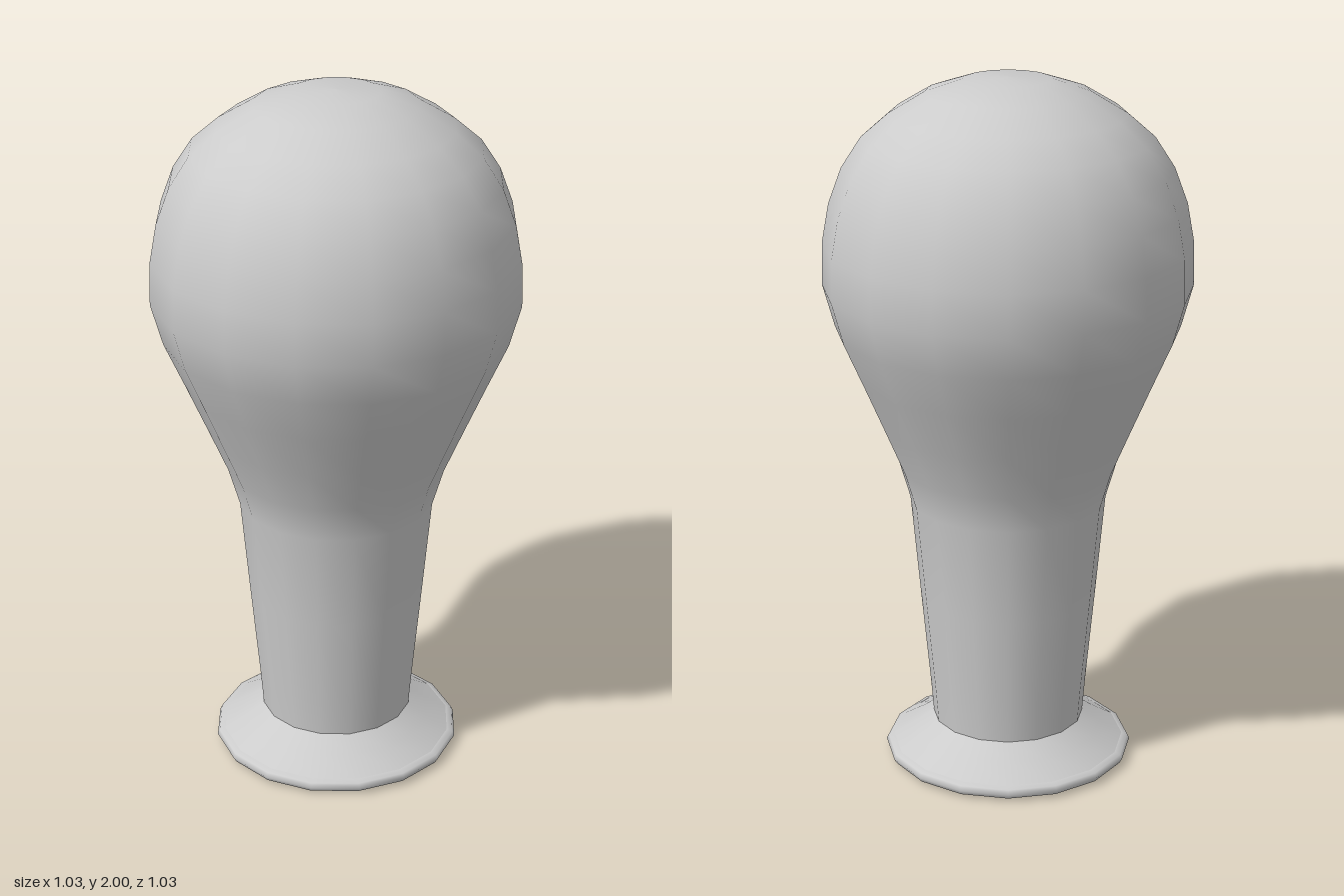
import * as THREE from 'three';

const SIDES = 16;

// Turns a profile of [radius, height] pairs, listed upwards on the outside
function turned(name, profile, material) {
  const points = profile.map(([r, y]) => new THREE.Vector2(r, y));
  const mesh = new THREE.Mesh(new THREE.LatheGeometry(points, SIDES), material);
  mesh.name = name;
  return mesh;
}

export function createModel() {
  const model = new THREE.Group();
  model.name = 'balloon';
  const skin = new THREE.MeshStandardMaterial({ color: 0xcccccc, side: THREE.DoubleSide });

  // Round bulb tapering into the neck, one thin smooth skin
  const body = [[0.218, 0.12], [0.226, 0.22], [0.252, 0.5], [0.278, 0.79], [0.31, 0.9], [0.365, 1.03], [0.425, 1.17], [0.482, 1.3]];
  const dome = [[0.515, 1.42], [0.512, 1.54], [0.492, 1.65], [0.455, 1.75], [0.4, 1.835], [0.325, 1.9], [0.225, 1.96], [0.12, 1.995], [0, 2]];
  model.add(turned('bulbAndNeck', [...body, ...dome], skin));

  // Flared mouth, open underneath
  model.add(turned('mouthFlare', [[0.335, 0.042], [0.27, 0.082], [0.218, 0.12]], skin));

  // Rolled lip around the mouth
  model.add(turned('rolledLip', [[0.285, 0.035], [0.3, 0.01], [0.325, 0], [0.35, 0.01], [0.358, 0.024], [0.352, 0.037], [0.335, 0.042]], skin));

  return model;
}
